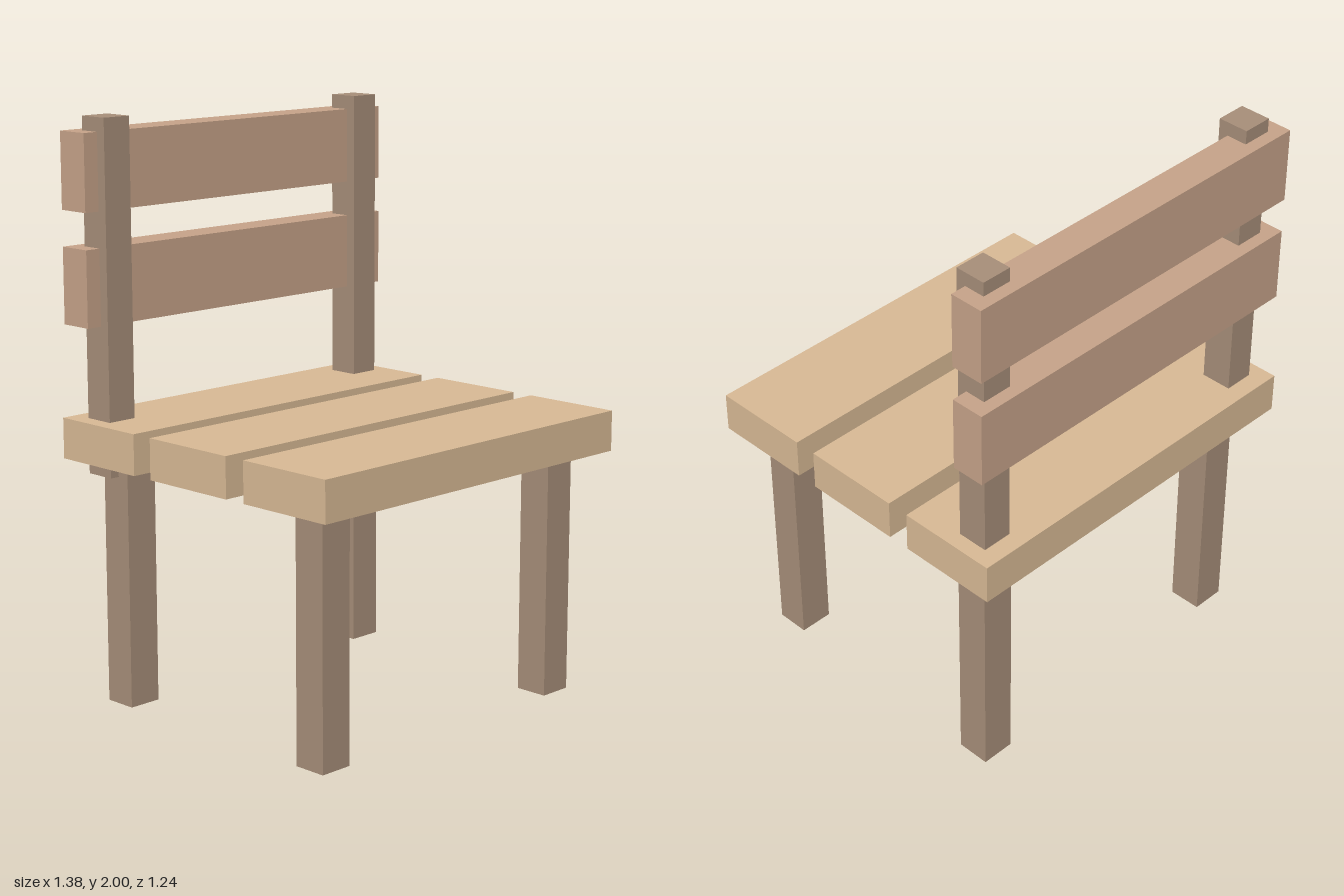
import * as THREE from 'three';

export function createModel() {
  const chair = new THREE.Group();
  chair.name = 'chair';

  const seatWood = new THREE.MeshStandardMaterial({ color: 0xdabb96 });
  const backWood = new THREE.MeshStandardMaterial({ color: 0xc8a48a });
  const frameWood = new THREE.MeshStandardMaterial({ color: 0xa88f7a });

  // A wooden bar given by its size and centre
  function bar(name, material, [w, h, d], [x, y, z]) {
    const mesh = new THREE.Mesh(new THREE.BoxGeometry(w, h, d), material);
    mesh.name = name;
    mesh.position.set(x, y, z);
    chair.add(mesh);
  }

  // Three seat planks with gaps between them
  ['backSeatPlank', 'middleSeatPlank', 'frontSeatPlank'].forEach((name, i) =>
    bar(name, seatWood, [1.38, 0.14, 0.36], [0, 0.92, (i - 1) * 0.44]));

  // Two back slats behind the posts
  bar('lowerBackSlat', backWood, [1.38, 0.26, 0.12], [0, 1.44, -0.54]);
  bar('upperBackSlat', backWood, [1.38, 0.26, 0.12], [0, 1.822, -0.54]);

  // Legs and back posts, mirrored left and right
  for (const [side, s] of [['left', 1], ['right', -1]]) {
    bar(side + 'FrontLeg', frameWood, [0.12, 0.842, 0.118], [s * 0.54, 0.421, 0.459]);
    bar(side + 'BackLeg', frameWood, [0.12, 0.842, 0.118], [s * 0.54, 0.421, -0.459]);
    bar(side + 'BackPost', frameWood, [0.108, 1.2, 0.11], [s * 0.58, 1.4, -0.5]);
  }

  return chair;
}
